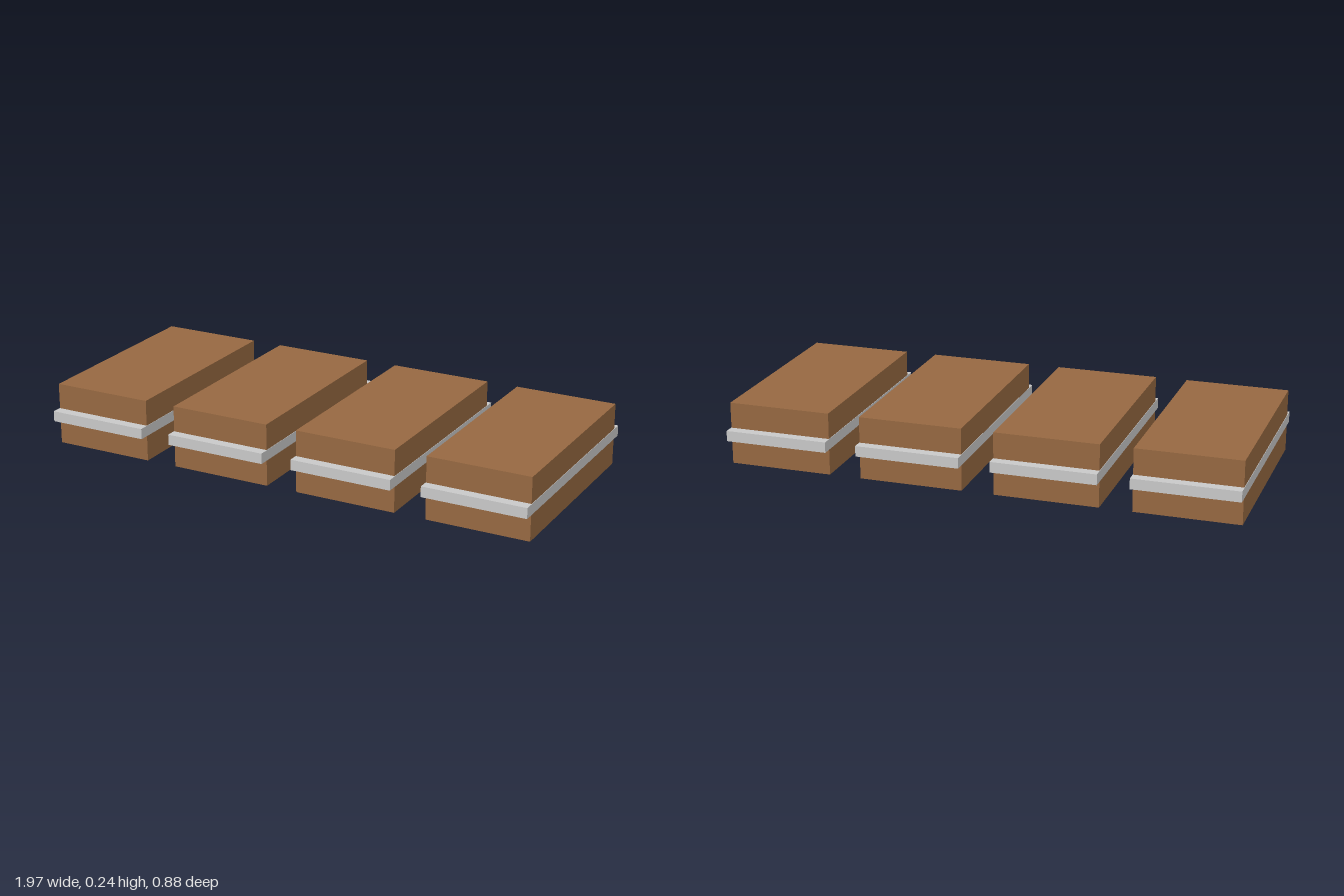
import * as THREE from 'three';

// Box standing on y = 0, open underneath
function openBox(width, height, depth) {
  const geometry = new THREE.BoxGeometry(width, height, depth).translate(0, height / 2, 0);
  const index = Array.from(geometry.index.array);
  index.splice(18, 6); // drop the bottom face
  geometry.setIndex(index);
  geometry.clearGroups();
  return geometry;
}

export function createModel() {
  const model = new THREE.Group();
  model.name = 'crateRow';

  const wood = new THREE.MeshStandardMaterial({ color: 0x966841, side: THREE.DoubleSide });
  wood.name = 'brown wood';
  const metal = new THREE.MeshStandardMaterial({ color: 0xc8c8c8, side: THREE.DoubleSide });
  metal.name = 'light grey metal';

  const bodyGeometry = openBox(0.4, 0.242, 0.805);
  // The band is a hair wider than the crate so its sides stay visible
  const bandGeometry = openBox(0.403, 0.041, 0.884);

  for (let i = 0; i < 4; i++) {
    const crate = new THREE.Group();
    crate.name = `crate${i + 1}`;
    crate.position.x = (i - 1.5) * 0.5235;

    const body = new THREE.Mesh(bodyGeometry, wood);
    body.name = 'crateBody';

    // Band through the crate, overhanging front and back
    const band = new THREE.Mesh(bandGeometry, metal);
    band.name = 'metalBand';
    band.position.y = 0.101;

    crate.add(body, band);
    model.add(crate);
  }
  return model;
}
